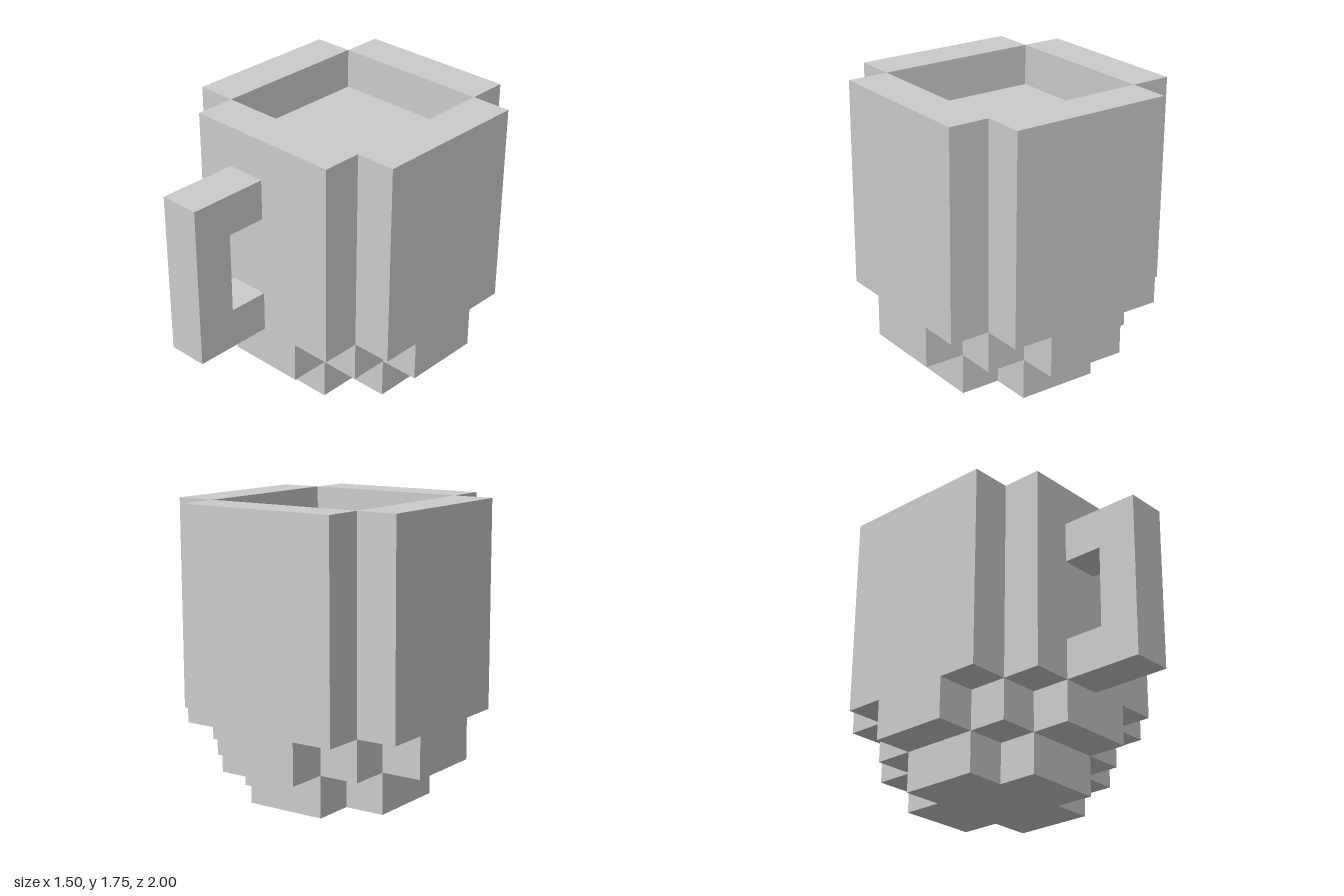
import * as THREE from 'three';

const U = 0.25; // size of one block
const material = new THREE.MeshStandardMaterial({ color: 0xcccccc, flatShading: true });

// Extrudes an outline given in blocks; depth runs along +z.
function slab(name, points, depth) {
  const shape = new THREE.Shape(points.map(([x, y]) => new THREE.Vector2(x * U, y * U)));
  const geometry = new THREE.ExtrudeGeometry(shape, { depth: depth * U, bevelEnabled: false });
  const mesh = new THREE.Mesh(geometry, material);
  mesh.name = name;
  return mesh;
}

export function createModel() {
  const model = new THREE.Group();
  model.name = 'mug';

  // Cup, built around its own axis and set back to leave room for the handle
  const cup = new THREE.Group();
  cup.name = 'cup';
  cup.position.z = -U;
  model.add(cup);

  // Four walls, stepped in at their lower corners
  const wallOutline = [[-1, 1], [1, 1], [1, 2], [2, 2], [2, 7], [-2, 7], [-2, 2], [-1, 2]];
  ['frontWall', 'leftWall', 'backWall', 'rightWall'].forEach((name, i) => {
    const wall = slab(name, wallOutline, 1);
    wall.geometry.translate(0, 0, 2 * U);
    wall.rotation.y = i * Math.PI / 2;
    cup.add(wall);
  });

  // Filling, whose top lies one block below the rim
  const filling = new THREE.Mesh(new THREE.BoxGeometry(4 * U, 5 * U, 4 * U), material);
  filling.name = 'filling';
  filling.position.y = 3.5 * U;
  cup.add(filling);

  // Cross-shaped foot
  const foot = slab('foot', [
    [-1, -2], [1, -2], [1, -1], [2, -1], [2, 1], [1, 1],
    [1, 2], [-1, 2], [-1, 1], [-2, 1], [-2, -1], [-1, -1],
  ], 1);
  foot.rotation.x = -Math.PI / 2;
  cup.add(foot);

  // C-shaped handle on the front, outline turned from x to z
  const handle = slab('handle', [
    [-2, 2], [-2, 3], [-3, 3], [-3, 5], [-2, 5], [-2, 6], [-4, 6], [-4, 2],
  ], 1);
  handle.rotation.y = Math.PI / 2;
  handle.position.x = -U;
  model.add(handle);

  return model;
}
